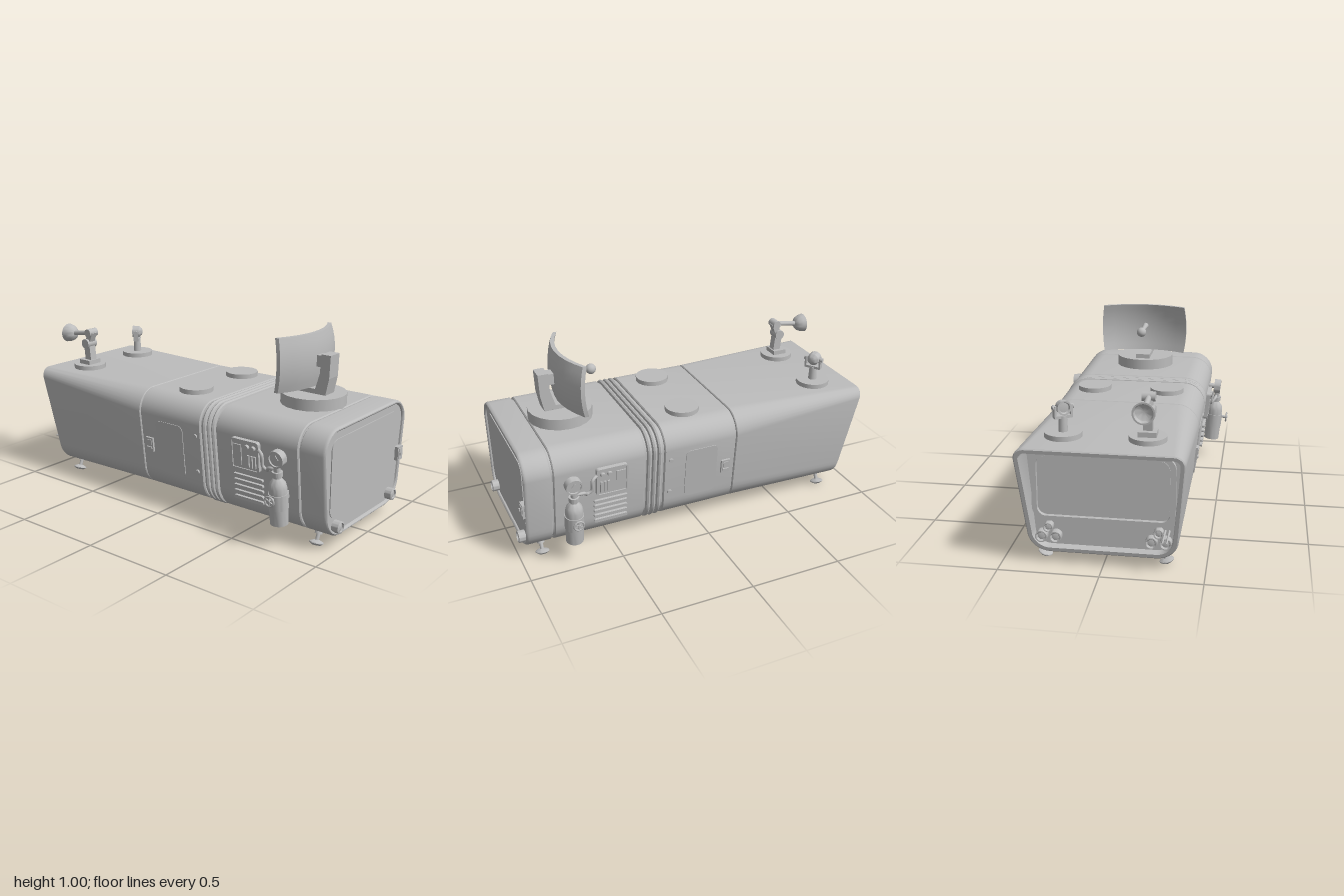
import * as THREE from 'three';
import { toCreasedNormals } from 'three/addons/utils/BufferGeometryUtils.js';

const grey = new THREE.MeshStandardMaterial({ color: 0xbcbcbc });
grey.name = 'hullGrey';
const H = Math.PI / 2;

function add(parent, name, geo, pos = [0, 0, 0], rot = [0, 0, 0]) {
  const m = new THREE.Mesh(geo, grey);
  m.name = name;
  m.position.set(...pos);
  m.rotation.set(...rot);
  parent.add(m);
  return m;
}
function group(parent, name, pos = [0, 0, 0], rot = [0, 0, 0]) {
  const g = new THREE.Group();
  g.name = name;
  g.position.set(...pos);
  g.rotation.set(...rot);
  parent.add(g);
  return g;
}
const box = (x, y, z) => new THREE.BoxGeometry(x, y, z);
const cyl = (r0, r1, h, n = 24) => new THREE.CylinderGeometry(r0, r1, h, n);
const lathe = (pts, n = 28) => toCreasedNormals(
  new THREE.LatheGeometry(pts.map(p => new THREE.Vector2(...p)), n), 0.6);

// straight bar between two points
function rod(parent, name, a, b, r0, r1 = r0) {
  const va = new THREE.Vector3(...a), vb = new THREE.Vector3(...b);
  const d = vb.clone().sub(va);
  const m = add(parent, name, cyl(r1, r0, d.length(), 14));
  m.position.copy(va).add(vb).multiplyScalar(0.5);
  m.quaternion.setFromUnitVectors(new THREE.Vector3(0, 1, 0), d.normalize());
}

function roundRect(w, h, r, Type = THREE.Shape) {
  const s = new Type(), x = w / 2, y = h / 2;
  s.moveTo(-x + r, -y);
  s.lineTo(x - r, -y).absarc(x - r, -y + r, r, -H, 0, false);
  s.lineTo(x, y - r).absarc(x - r, y - r, r, 0, H, false);
  s.lineTo(-x + r, y).absarc(-x + r, y - r, r, H, 2 * H, false);
  s.lineTo(-x, -y + r).absarc(-x + r, -y + r, r, 2 * H, 3 * H, false);
  return s;
}
function plate(w, h, r, depth, hole) {
  const s = roundRect(w, h, r);
  if (hole) s.holes.push(roundRect(w - hole, h - hole, Math.max(r - hole / 2, 0.005), THREE.Path));
  return new THREE.ExtrudeGeometry(s, { depth, bevelEnabled: false, curveSegments: 8 });
}

// hull cross-section: rounded trapezoid, narrower at the bottom
function ring(z, inset = 0, rt = 0.12, rb = 0.14) {
  const N = 8, wt = 0.404 - inset, wb = 0.37 - inset, y0 = 0.06 + inset, y1 = 0.63 - inset;
  const a = Math.max(rt - inset, 0.01), b = Math.max(rb - inset, 0.01);
  const corners = [[wb - b, y0 + b, b, -H], [wt - a, y1 - a, a, 0],
    [a - wt, y1 - a, a, H], [b - wb, y0 + b, b, 2 * H]];
  const pts = [];
  for (const [x, y, r, t] of corners)
    for (let i = 0; i <= N; i++) {
      const q = t + H * i / N;
      const px = x + r * Math.cos(q), py = y + r * Math.sin(q);
      pts.push([px, py, typeof z === 'function' ? z(py) : z]);
    }
  return pts;
}

// skin over rings running front to back, capped at both ends
function loft(rings) {
  const n = rings[0].length, pos = rings.flat(2), idx = [];
  for (let i = 0; i < rings.length - 1; i++)
    for (let j = 0; j < n; j++) {
      const k = (j + 1) % n, a = i * n + j, b = i * n + k;
      idx.push(a, a + n, b, b, a + n, b + n);
    }
  const last = (rings.length - 1) * n, c = rings.length * n;
  for (const r of [rings[0], rings[rings.length - 1]])
    pos.push(0, 0.345, r.reduce((s, p) => s + p[2], 0) / n);
  for (let j = 0; j < n; j++) {
    const k = (j + 1) % n;
    idx.push(c, j, k, c + 1, last + k, last + j);
  }
  const g = new THREE.BufferGeometry();
  g.setAttribute('position', new THREE.Float32BufferAttribute(pos, 3));
  g.setIndex(idx);
  return toCreasedNormals(g, 0.6);
}

function buildHull(root) {
  const g = group(root, 'hull');
  add(g, 'frontCap', loft([ring(0.958, 0.022), ring(0.966, 0.02), ring(0.971, 0.014),
    ring(0.971, 0.008), ring(0.965, 0.002), ring(0.955), ring(0.835), ring(0.83, 0.006)]));
  add(g, 'seam', loft([ring(0.84, 0.014), ring(-0.25, 0.014)]));
  add(g, 'frontHull', loft([ring(0.82, 0.006), ring(0.815), ring(0.33), ring(0.325, 0.006)]));
  for (const z of [0.3, 0.27, 0.24])
    add(g, 'bellowsRib', loft([-1, -0.7, 0, 0.7, 1].map(t =>
      ring(z - t * 0.013, 0.014 - 0.018 * Math.sqrt(1 - t * t)))));
  add(g, 'midHull', loft([ring(0.215, 0.006), ring(0.21), ring(-0.197), ring(-0.202, 0.006)]));
  // overhanging tail with a hollow end
  const slant = y => -0.89 - 0.11 * (y - 0.06) / 0.57;
  add(g, 'rearHull', loft([ring(-0.206, 0.004), ring(-0.21), ring(y => slant(y) + 0.006, 0, 0.055, 0.11),
    ring(slant, 0.006, 0.055, 0.11), ring(slant, 0.024, 0.055, 0.11), ring(-0.855, 0.03, 0.055, 0.11)]));
  add(g, 'rearWindowFrame', plate(0.7, 0.36, 0.07, 0.022, 0.05), [0, 0.4, -0.876]);
  add(g, 'rearWindow', plate(0.64, 0.3, 0.05, 0.006), [0, 0.4, -0.86]);
}

function buildFront(root) {
  const g = group(root, 'frontFace');
  add(g, 'frontHatch', plate(0.65, 0.405, 0.05, 0.006), [0, 0.367, 0.957]);
  add(g, 'hatchLock', box(0.052, 0.075, 0.03), [0.347, 0.327, 0.968]);
  add(g, 'lockInset', box(0.036, 0.056, 0.004), [0.347, 0.327, 0.984]);
  add(g, 'lockHandle', box(0.01, 0.016, 0.01), [0.337, 0.327, 0.987]);
  for (const s of [-1, 1])
    add(g, 'frontLamp', lathe([[0, -0.03], [0.032, -0.03], [0.032, 0.015], [0.024, 0.018],
      [0.022, 0.008], [0.012, 0.012], [0, 0.013]]), [s * 0.27, 0.118, 0.98], [H, 0, 0]);
}

function buildRearLights(root) {
  for (const s of [-1, 1]) {
    const g = group(root, 'rearLampCluster', [s * 0.27, 0.14, -0.855]);
    for (const [x, y, r] of [[-0.035, 0, 0.03], [0.035, 0, 0.03], [0, 0.05, 0.024]])
      add(g, 'rearLamp', lathe([[0, -0.01], [r, -0.01], [r, 0.04], [r * 0.8, 0.04],
        [r * 0.6, 0.03], [0, 0.034]], 20), [x, y, 0], [-H, 0, 0]);
  }
  // small tow prongs
  for (const x of [-0.32, -0.3]) rod(root, 'towProng', [x, 0.195, -0.85], [x, 0.19, -0.99], 0.006, 0.004);
}

function buildSide(root, s) {
  const g = group(root, s > 0 ? 'leftSide' : 'rightSide', [s * 0.3865, 0.355, 0], [0, 0, -s * 0.1]);
  const at = (out, y, z) => [s * out, y - 0.355, z];
  const face = [0, s * H, 0], axis = [0, 0, -s * H];
  // doorway
  add(g, 'sideDoor', plate(0.185, 0.295, 0.03, 0.005), at(0, 0.338, 0), face);
  add(g, 'doorLatch', box(0.02, 0.08, 0.05), at(0.002, 0.335, -0.145));
  add(g, 'latchInset', box(0.01, 0.03, 0.03), at(0.011, 0.35, -0.145));
  add(g, 'latchHandle', box(0.014, 0.012, 0.034), at(0.012, 0.318, -0.145));
  for (const y of [0.45, 0.245]) add(g, 'bolt', cyl(0.012, 0.014, 0.016, 16), at(0, y, 0.18), axis);
  // control panel and vents
  add(g, 'controlPanel', plate(0.17, 0.165, 0.015, 0.018), at(0, 0.428, 0.515), face);
  add(g, 'panelBorder', plate(0.17, 0.165, 0.015, 0.006, 0.016), at(0.018, 0.428, 0.515), face);
  for (const z of [0.568, 0.53]) add(g, 'knob', cyl(0.012, 0.014, 0.02, 16), at(0.022, 0.475, z), axis);
  add(g, 'panelCover', box(0.008, 0.11, 0.05), at(0.02, 0.425, 0.468));
  for (let i = 0; i < 3; i++) add(g, 'switchBar', box(0.014, 0.065, 0.012), at(0.02, 0.4, 0.575 - i * 0.02));
  for (let i = 0; i < 5; i++) add(g, 'ventSlat', plate(0.185, 0.018, 0.008, 0.014), at(0, 0.3 - i * 0.031, 0.518), face);
  // gas bottle
  const z = 0.735;
  add(g, 'gasBottle', lathe([[0, -0.225], [0.046, -0.225], [0.047, -0.14], [0.05, -0.14], [0.05, -0.06],
    [0.046, -0.06], [0.046, -0.03], [0.04, -0.005], [0.025, 0.015], [0.02, 0.02], [0.02, 0.03],
    [0.027, 0.03], [0.027, 0.055], [0.017, 0.055], [0.017, 0.085], [0, 0.085]]), at(0.058, 0.355, z));
  add(g, 'bottleBracket', box(0.04, 0.04, 0.05), at(0.012, 0.27, z));
  add(g, 'gauge', lathe([[0, -0.02], [0.044, -0.02], [0.044, 0.02], [0.036, 0.02], [0.035, 0.012],
    [0, 0.012]]), at(0.054, 0.475, z), axis);
  add(g, 'gaugeNeedle', box(0.004, 0.03, 0.005), at(0.068, 0.483, z + 0.005), [-0.6, 0, 0]);
  add(g, 'gaugeMount', cyl(0.015, 0.015, 0.045, 14), at(0.018, 0.475, z), axis);
  add(g, 'valveStem', cyl(0.008, 0.01, 0.05, 12), at(0.118, 0.28, z), axis);
  add(g, 'valveWheel', new THREE.TorusGeometry(0.026, 0.005, 8, 24), at(0.135, 0.28, z), face);
  for (let i = 0; i < 3; i++) add(g, 'valveSpoke', box(0.006, 0.052, 0.006), at(0.135, 0.28, z), [i * Math.PI / 3, 0, 0]);
  const path = [[0.055, 0.415, z], [0.05, 0.41, 0.68], [0.03, 0.385, 0.655], [0.03, 0.4, 0.63],
    [0.03, 0.46, 0.625], [0.015, 0.475, 0.595]].map(p => new THREE.Vector3(...at(...p)));
  add(g, 'hose', new THREE.TubeGeometry(new THREE.CatmullRomCurve3(path), 36, 0.009, 10));
}

function buildRoof(root) {
  for (const x of [-0.205, 0.205]) for (const z of [0.03, -0.79])
    add(root, 'roofHatch', cyl(0.092, 0.092, 0.03, 32), [x, 0.64, z]);
  // dish antenna
  const d = group(root, 'dishAntenna');
  add(d, 'turntable', cyl(0.172, 0.172, 0.065, 20), [0, 0.6575, 0.647]);
  add(d, 'turntableBlock', box(0.085, 0.03, 0.18), [0, 0.7, 0.61]);
  const mast = new THREE.Shape([[0.765, 0.9], [0.71, 0.9], [0.705, 0.8], [0.67, 0.685], [0.74, 0.685],
    [0.76, 0.78]].map(p => new THREE.Vector2(-p[0], p[1])));
  add(d, 'mast', new THREE.ExtrudeGeometry(mast, { depth: 0.084, bevelEnabled: false }), [-0.042, 0, 0], [0, H, 0]);
  add(d, 'mastJoint', box(0.06, 0.06, 0.06), [0, 0.86, 0.695]);
  const dish = new THREE.BoxGeometry(0.516, 0.28, 0.022, 8, 8, 1), p = dish.attributes.position;
  for (let i = 0; i < p.count; i++) {
    const x = p.getX(i), y = p.getY(i);
    p.setZ(i, p.getZ(i) - 1.05 * (x * x + y * y));
    p.setX(i, x * (1 - 0.05 * (y / 0.14) ** 2));
  }
  dish.computeVertexNormals();
  add(d, 'dish', dish, [0, 0.86, 0.668]);
  rod(d, 'feedArm', [0, 0.865, 0.665], [0, 0.865, 0.47], 0.018, 0.008);
  add(d, 'feedBall', new THREE.SphereGeometry(0.028, 20, 14), [0, 0.865, 0.465]);

  // jointed searchlight
  const a = group(root, 'searchlight', [-0.205, 0.65, -0.79]);
  add(a, 'armBase', box(0.09, 0.03, 0.08), [0, 0.015, 0]);
  add(a, 'lowerArm', box(0.045, 0.11, 0.045), [0, 0.075, 0.005], [-0.1, 0, 0]);
  add(a, 'elbow', cyl(0.028, 0.028, 0.07, 20), [0, 0.125, 0], [0, 0, H]);
  add(a, 'upperArm', box(0.04, 0.08, 0.035), [0, 0.16, 0.015], [0.4, 0, 0]);
  add(a, 'wrist', cyl(0.024, 0.024, 0.065, 20), [0, 0.19, 0.02], [0, 0, H]);
  rod(a, 'boom', [0, 0.19, 0.02], [0, 0.17, -0.12], 0.014);
  add(a, 'lampBowl', lathe([[0, -0.062], [0.022, -0.058], [0.04, -0.043], [0.05, -0.02], [0.054, 0],
    [0.046, 0], [0.04, -0.018], [0.02, -0.03], [0, -0.032]]), [0, 0.165, -0.175], [-H, 0, 0]);

  // yoke lamp
  const l = group(root, 'yokeLamp', [0.205, 0.65, -0.79], [0, 0.6, 0]);
  add(l, 'lampPost', cyl(0.02, 0.024, 0.08, 14), [0, 0.04, 0]);
  add(l, 'yokeBar', box(0.09, 0.014, 0.03), [0, 0.078, 0]);
  for (const s of [-1, 1]) {
    add(l, 'yokeArm', box(0.01, 0.06, 0.03), [s * 0.042, 0.105, 0]);
    add(l, 'yokePin', cyl(0.012, 0.012, 0.014, 12), [s * 0.047, 0.125, 0], [0, 0, H]);
  }
  add(l, 'lampHead', lathe([[0, -0.036], [0.02, -0.03], [0.033, -0.015], [0.036, 0.025], [0.028, 0.025],
    [0.024, 0.015], [0, 0.018]]), [0, 0.125, 0], [-H, 0, 0]);
}

function buildUnderside(root) {
  const g = group(root, 'underside');
  for (const s of [-1, 1]) {
    for (const z of [0.63, -0.72])
      add(g, 'thruster', lathe([[0, 0.022], [0.03, 0.022], [0.034, 0.004], [0.045, 0], [0.058, 0.006],
        [0.062, 0.014], [0.085, 0.018], [0.09, 0.03], [0.09, 0.045], [0, 0.045]]), [s * 0.16, 0.03, z]);
    // splayed feet
    for (const z of [0.88, -0.81]) {
      rod(g, 'legSleeve', [s * 0.26, 0.12, z], [s * 0.287, 0.06, z], 0.02);
      rod(g, 'leg', [s * 0.275, 0.09, z], [s * 0.303, 0.02, z], 0.01);
      add(g, 'footPad', lathe([[0, -0.01], [0.025, -0.008], [0.037, 0.002], [0.036, 0.006],
        [0.015, 0.016], [0, 0.017]], 20), [s * 0.305, 0.016, z], [0, 0, s * 0.3]);
    }
  }
  // grille and pull handle
  add(g, 'bellyPanel', plate(0.3, 0.28, 0.025, 0.02), [0, 0.062, -0.43], [H, 0, 0]);
  add(g, 'bellyBorder', plate(0.3, 0.28, 0.025, 0.006, 0.03), [0, 0.043, -0.43], [H, 0, 0]);
  for (let i = 0; i < 5; i++) add(g, 'bellySlat', box(0.2, 0.01, 0.016), [0, 0.04, -0.51 + i * 0.04]);
  add(g, 'handlePlate', plate(0.13, 0.15, 0.015, 0.016), [0, 0.062, -0.165], [H, 0, 0]);
  add(g, 'pullRing', new THREE.TorusGeometry(0.055, 0.007, 8, 28), [0, 0.04, -0.2], [H + 0.12, 0, 0]);
}

export function createModel() {
  const root = new THREE.Group();
  root.name = 'mobileModule';
  buildHull(root);
  buildFront(root);
  buildRearLights(root);
  for (const s of [-1, 1]) buildSide(root, s);
  buildRoof(root);
  buildUnderside(root);
  return root;
}
